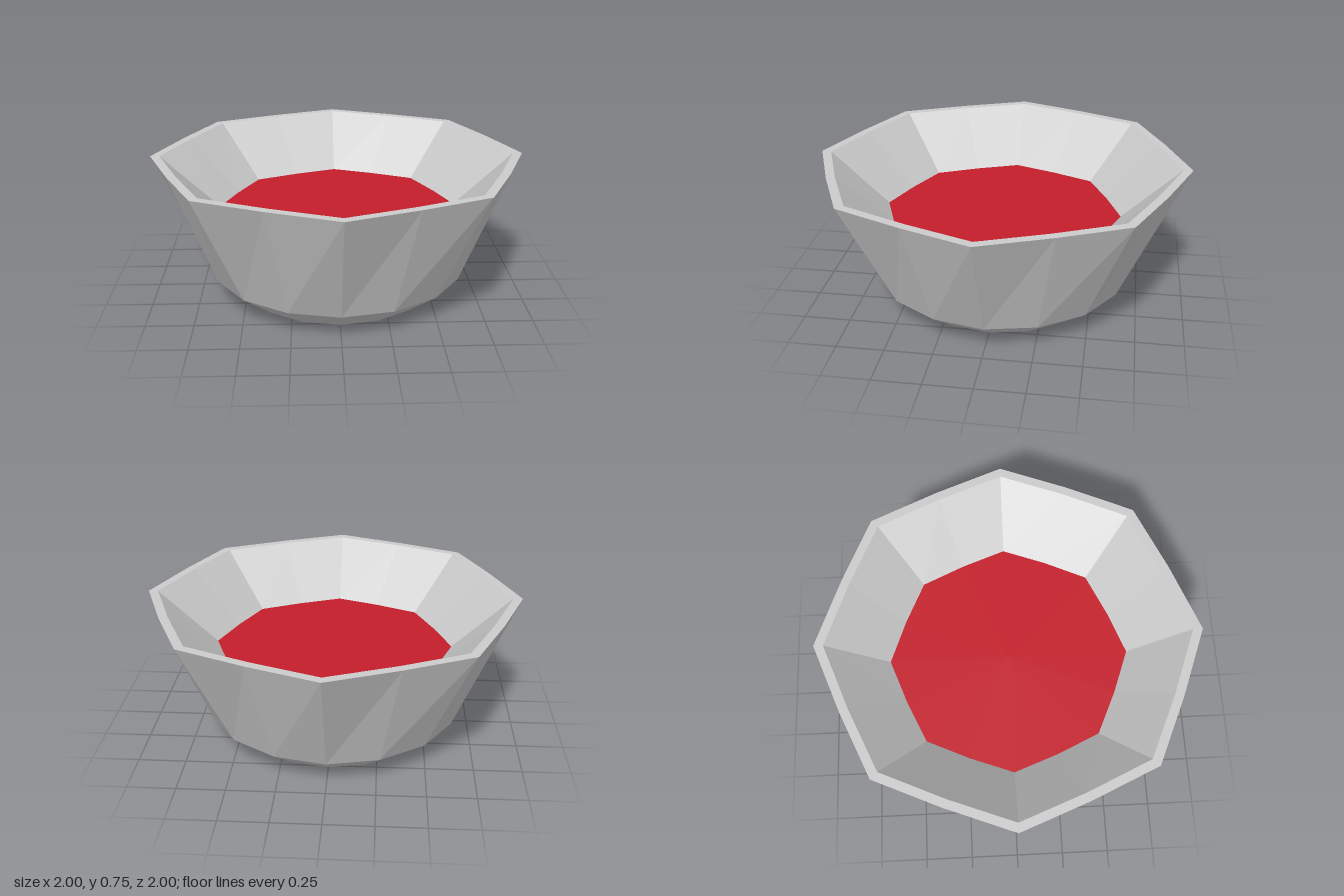
import * as THREE from 'three';

const SIDES = 16;

// A ring is [height, radius at the eight corners, radius between the corners].
function point([y, corner, mid], i) {
  const a = (i / SIDES) * Math.PI * 2;
  const r = i % 2 ? mid : corner;
  return [r * Math.sin(a), y, r * Math.cos(a)];
}

// Joins consecutive rings with faceted bands; a zero radius closes to a point.
function loft(name, rings, color) {
  const positions = [];
  for (let k = 0; k < rings.length - 1; k++) {
    const lower = rings[k], upper = rings[k + 1];
    for (let i = 0; i < SIDES; i++) {
      const a = point(lower, i), b = point(lower, i + 1);
      const c = point(upper, i + 1), d = point(upper, i);
      if (lower[1] > 0) positions.push(...a, ...b, ...c);
      if (upper[1] > 0) positions.push(...a, ...c, ...d);
    }
  }
  const geometry = new THREE.BufferGeometry();
  geometry.setAttribute('position', new THREE.Float32BufferAttribute(positions, 3));
  geometry.computeVertexNormals();
  const mesh = new THREE.Mesh(geometry, new THREE.MeshStandardMaterial({ color, flatShading: true }));
  mesh.name = name;
  return mesh;
}

export function createModel() {
  const group = new THREE.Group();
  group.name = 'bowl';

  const base = [0, 0.515, 0.515];
  const shoulder = [0.135, 0.695, 0.692];
  const rimOuter = [0.755, 1, 0.934];
  const rimInner = [0.755, 0.95, 0.888];
  const fillEdge = [0.467, 0.64, 0.6];

  // Foot, flared wall, flat rim and sloping inside wall
  group.add(loft('bowlShell', [[0, 0, 0], base, shoulder, rimOuter, rimInner, fillEdge], 0xcccccc));

  // Flat red contents
  group.add(loft('contents', [fillEdge, [0.467, 0, 0]], 0xc41e2a));

  return group;
}
